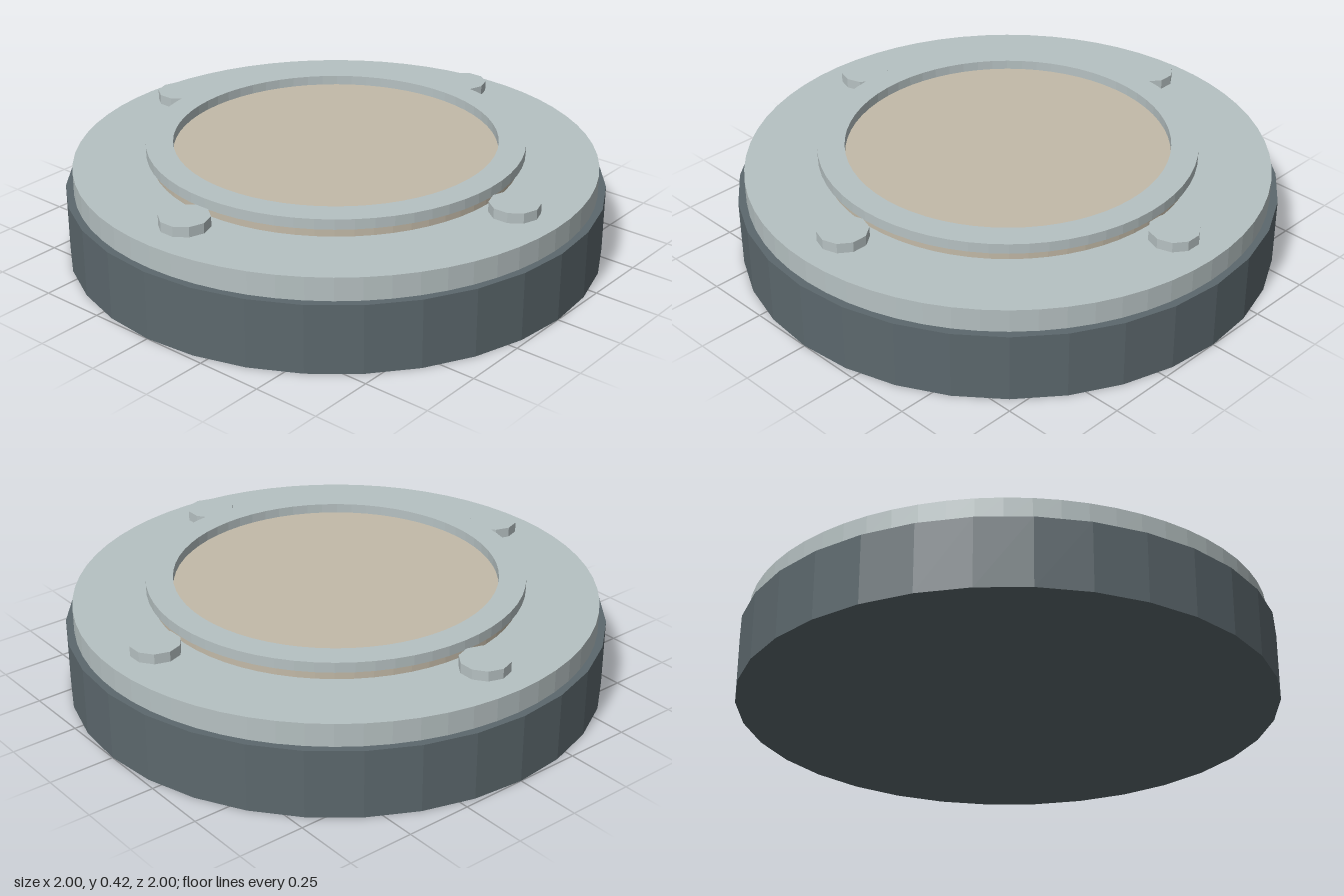
import * as THREE from 'three';

const material = (name, color) => {
  const m = new THREE.MeshStandardMaterial({ color });
  m.name = name;
  return m;
};

export function createModel() {
  const darkSteel = material('dark steel', 0x5c686d);
  const paleSteel = material('pale steel', 0xb6c1c2);
  const sand = material('sand', 0xc3baa8);

  const model = new THREE.Group();
  model.name = 'roundHatch';

  const add = (name, geometry, mat) => {
    const mesh = new THREE.Mesh(geometry.toNonIndexed(), mat);
    mesh.geometry.computeVertexNormals(); // faceted sides
    mesh.name = name;
    model.add(mesh);
    return mesh;
  };

  // Upright disc from y0 to y1, with a corner on the x axis
  const disc = (name, radius, y0, y1, sides, mat) => {
    const g = new THREE.CylinderGeometry(radius, radius, y1 - y0, sides);
    g.rotateY(Math.PI / 2);
    g.translate(0, (y0 + y1) / 2, 0);
    return add(name, g, mat);
  };

  // Stacked body
  disc('base', 1, 0, 0.257, 32, darkSteel);
  disc('topPlate', 0.97, 0.257, 0.343, 64, paleSteel);
  disc('centrePanel', 0.68, 0.343, 0.381, 64, sand);

  // Raised rim around the panel: closed rectangular section
  const section = [[0.6, 0.379], [0.7, 0.379], [0.7, 0.417], [0.6, 0.417], [0.6, 0.379]];
  add('rim', new THREE.LatheGeometry(section.map(([r, y]) => new THREE.Vector2(r, y)), 64), paleSteel);

  // Four bolt heads, standing just clear of the plate
  for (const [x, z] of [[0.8, 0], [0, 0.8], [-0.8, 0], [0, -0.8]]) {
    disc('bolt', 0.091, 0.352, 0.39, 10, paleSteel).position.set(x, 0, z);
  }

  return model;
}
